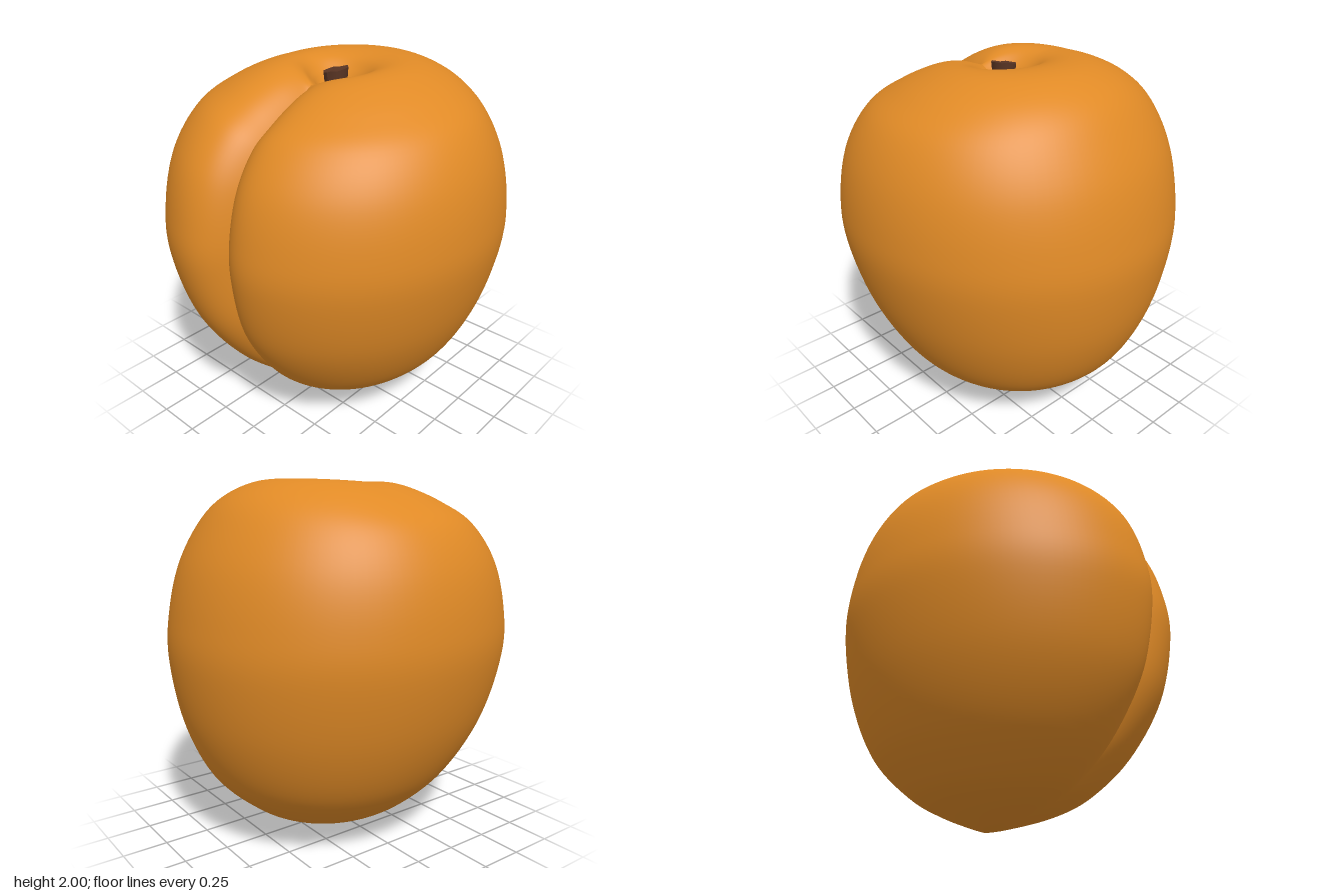
import * as THREE from 'three';

// Rings from the bottom tip up over the rim and into the stem hollow:
// [height, half width, front z, back z, groove depth, tilt of the ring]
const RINGS = [
  [0, 0, -0.14, -0.14, 0, 0],
  [0.03, 0.12, 0.03, -0.23, 0.005, 0],
  [0.1, 0.32, 0.29, -0.4, 0.02, 0],
  [0.2, 0.49, 0.48, -0.57, 0.04, 0],
  [0.4, 0.68, 0.69, -0.77, 0.07, 0],
  [0.7, 0.83, 0.87, -0.9, 0.1, 0],
  [1.05, 0.92, 0.95, -0.955, 0.13, 0],
  [1.3, 0.925, 0.935, -0.935, 0.13, 0],
  [1.55, 0.875, 0.86, -0.87, 0.13, 0],
  [1.75, 0.77, 0.72, -0.76, 0.12, 0.01],
  [1.87, 0.62, 0.56, -0.64, 0.11, 0.04],
  [1.95, 0.45, 0.4, -0.48, 0.1, 0.06],
  [1.98, 0.32, 0.27, -0.33, 0.09, 0.06],
  [1.965, 0.22, 0.19, -0.2, 0.07, 0.05],
  [1.91, 0.14, 0.14, -0.12, 0.04, 0.03],
  [1.85, 0.08, 0.1, -0.05, 0.015, 0],
  [1.82, 0, 0.03, 0.03, 0, 0],
];

function fruitGeometry(rows, cols) {
  const curve = (pick) => new THREE.CatmullRomCurve3(
    RINGS.map((r) => new THREE.Vector3(...pick(r))), false, 'catmullrom', 0.5);
  const profile = curve(([y, , front, back]) => [front, y, back]);
  const shape = curve(([, width, , , depth, tilt]) => [width, depth, tilt]);
  const pos = [], index = [];

  for (let i = 0; i <= rows; i++) {
    const t = i / rows;
    const p = profile.getPoint(t);
    const { x: width, y: depth, z: tilt } = shape.getPoint(t);
    // Outward direction of the front profile, along which the groove is pressed in
    const a = profile.getPoint(Math.max(0, t - 0.01));
    const b = profile.getPoint(Math.min(1, t + 0.01));
    const len = Math.hypot(b.x - a.x, b.y - a.y) || 1;
    const nz = (b.y - a.y) / len, ny = -(b.x - a.x) / len;
    const mid = i === 0 || i === rows ? p.x : THREE.MathUtils.lerp(p.x, p.z, 0.5);

    for (let j = 0; j <= cols; j++) {
      // Columns crowd towards the groove, where the first and last meet in a crease
      const u = (2 * j) / cols - 1;
      const angle = Math.PI * (1 + Math.sign(u) * (1 - Math.pow(1 - Math.abs(u), 1.5)));
      const c = Math.cos(angle);
      const x = Math.sin(angle) * width;
      const z = mid + c * (c > 0 ? p.x - mid : mid - p.z);
      // The right lobe (-x) swells a little more than the left
      const swell = u > 0 ? 0.38 : 0;
      const facing = Math.max(0, c);
      const push = depth * facing * (swell - (1 + swell) * Math.exp(-Math.abs(x) / 0.115));
      pos.push(x, p.y - tilt * z + ny * push, z + nz * push);
    }
  }
  for (let i = 0; i < rows; i++) {
    for (let j = 0; j < cols; j++) {
      const k = i * (cols + 1) + j, up = k + cols + 1;
      index.push(k, k + 1, up, k + 1, up + 1, up);
    }
  }
  const geo = new THREE.BufferGeometry();
  geo.setAttribute('position', new THREE.Float32BufferAttribute(pos, 3));
  geo.setIndex(index);
  geo.computeVertexNormals();
  return geo;
}

// Short stub with a flared, slanted and slightly uneven top
function stemGeometry() {
  const geo = new THREE.CylinderGeometry(0.064, 0.052, 0.14, 14, 3);
  const p = geo.attributes.position;
  for (let i = 0; i < p.count; i++) {
    const x = p.getX(i), y = p.getY(i), z = p.getZ(i);
    if (y > 0.06) p.setY(i, y + 0.2 * x - 0.1 * z + 0.004 * Math.sin(90 * x));
    p.setZ(i, z * 1.08);
  }
  geo.computeVertexNormals();
  return geo;
}

export function createModel() {
  const skin = new THREE.MeshStandardMaterial({ color: 0xe08a26 });
  skin.name = 'orange skin';
  const wood = new THREE.MeshStandardMaterial({ color: 0x5a3524 });
  wood.name = 'brown stem';

  const group = new THREE.Group();
  group.name = 'fruit';

  const body = new THREE.Mesh(fruitGeometry(112, 128), skin);
  body.name = 'fruitBody';

  const stem = new THREE.Mesh(stemGeometry(), wood);
  stem.name = 'stem';
  stem.position.set(0, 1.88, 0.03);

  group.add(body, stem);
  return group;
}
